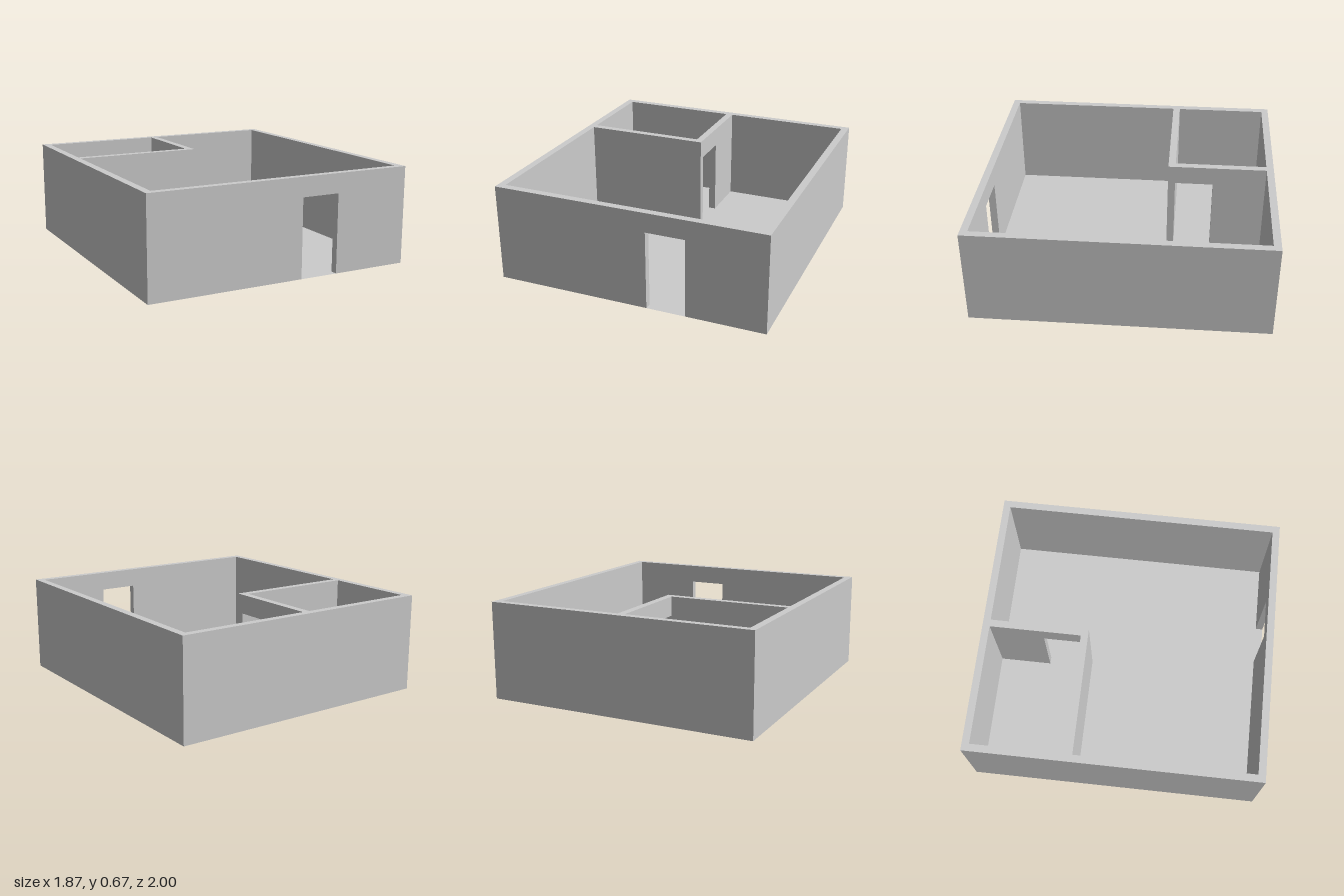
import * as THREE from 'three';

const W = 0.933, D = 1, H = 0.667, T = 0.05; // half width, half depth, wall height, wall thickness
const DOOR_H = 0.535;

const material = new THREE.MeshStandardMaterial({ color: 0xcccccc, flatShading: true });
const floorMaterial = new THREE.MeshStandardMaterial({ color: 0xcccccc, side: THREE.DoubleSide });

// Upright wall from a to b along its length, with an optional doorway [start, end] cut to the floor
function wallGeometry(a, b, door) {
  const points = [[a, 0]];
  if (door) points.push([door[0], 0], [door[0], DOOR_H], [door[1], DOOR_H], [door[1], 0]);
  points.push([b, 0], [b, H], [a, H]);
  const shape = new THREE.Shape(points.map(([x, y]) => new THREE.Vector2(x, y)));
  return new THREE.ExtrudeGeometry(shape, { depth: T, bevelEnabled: false });
}

// Wall running along x, with its back face at z
function wallAlongX(name, a, b, z, door) {
  const mesh = new THREE.Mesh(wallGeometry(a, b, door), material);
  mesh.name = name;
  mesh.position.z = z;
  return mesh;
}

// Wall running along z, with its +x face at x
function wallAlongZ(name, a, b, x, door) {
  const mesh = new THREE.Mesh(wallGeometry(a, b, door), material);
  mesh.name = name;
  mesh.rotation.y = -Math.PI / 2;
  mesh.position.x = x;
  return mesh;
}

export function createModel() {
  const group = new THREE.Group();
  group.name = 'openTopBuilding';

  // Floor
  const floor = new THREE.Mesh(new THREE.PlaneGeometry(2 * W, 2 * D), floorMaterial);
  floor.name = 'floor';
  floor.rotation.x = -Math.PI / 2;
  group.add(floor);

  // Outer walls, with the entrance in the front
  group.add(
    wallAlongX('frontWall', -W, W, D - T, [0.133, 0.4]),
    wallAlongX('backWall', -W, W, -D),
    wallAlongZ('leftWall', -D + T, D - T, W),
    wallAlongZ('rightWall', -D + T, D - T, -W + T),
  );

  // Partitions enclosing the corner room, with its doorway on the +x side
  group.add(
    wallAlongX('roomFrontPartition', -W + T, -T, -0.317),
    wallAlongZ('roomSidePartition', -D + T, -0.267, 0, [-0.583, -0.317]),
  );
  return group;
}
